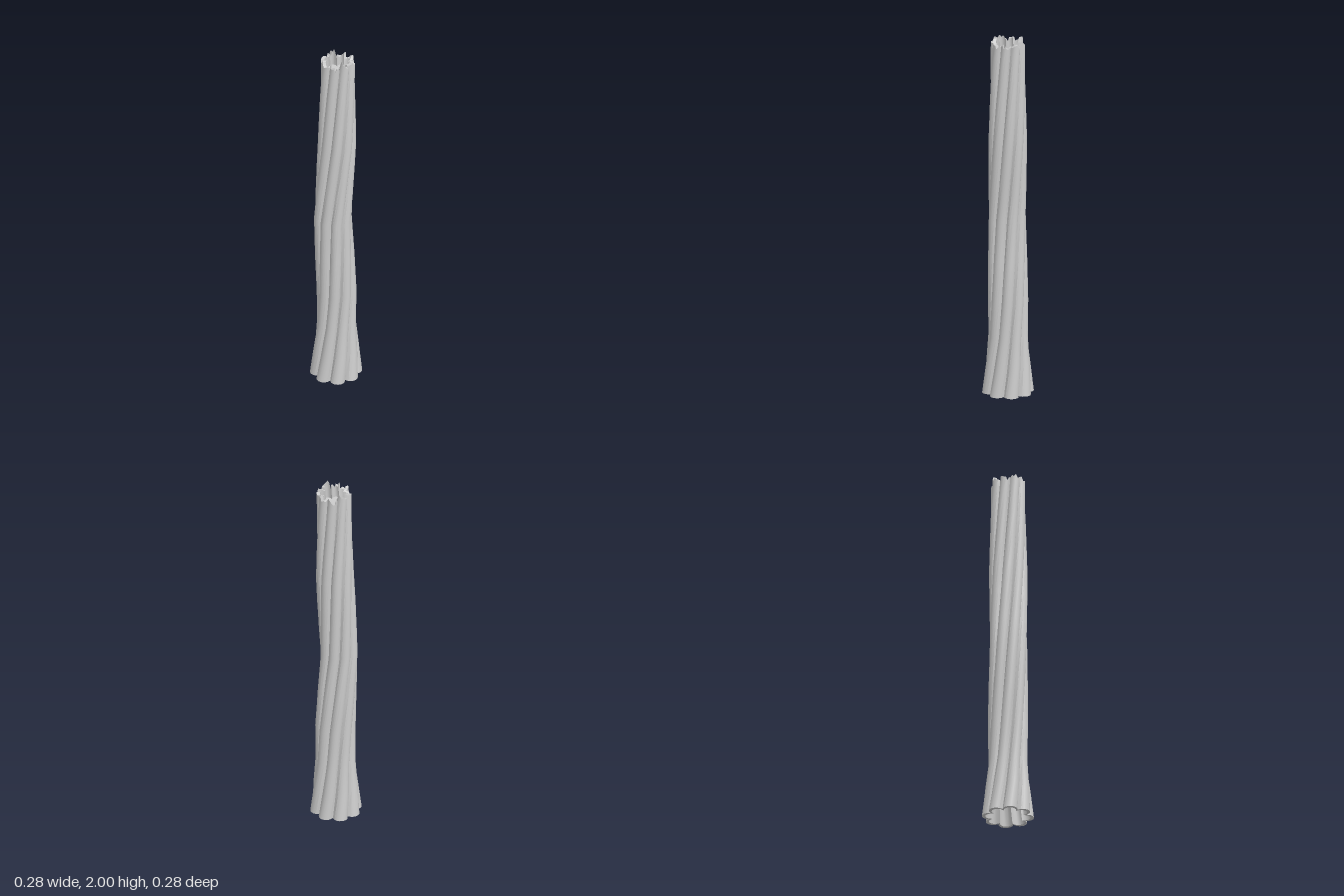
import * as THREE from 'three';
import { toCreasedNormals } from 'three/addons/utils/BufferGeometryUtils.js';

const LOBES = 8, STEPS = 8, N = LOBES * STEPS, WALL = 0.018;

// Sections up the trunk: height, centre x, centre z, scale, twist in degrees
const SECTIONS = [
  [0, 0, 0, 1, 0],
  [0.32, 0.003, 0, 0.77, 20],
  [0.52, 0.003, 0, 0.77, 32],
  [0.98, -0.017, 0.001, 0.74, 56],
  [1.45, 0.005, 0.002, 0.73, 84],
  [1.92, 0.01, 0.002, 0.67, 112.5],
];

function sectionAt(y) {
  let k = 0;
  while (k < SECTIONS.length - 2 && y > SECTIONS[k + 1][0]) k++;
  const a = SECTIONS[k], b = SECTIONS[k + 1];
  const t = (y - a[0]) / (b[0] - a[0]);
  return a.map((v, i) => v + (b[i] - v) * t);
}

// Point i on the ring of round lobes, moved inward by inset
function point(i, y, inset) {
  const [, cx, cz, scale, twist] = sectionAt(y);
  const half = Math.PI / LOBES;
  const a = ((i % STEPS) / STEPS) * 2 * half - half;
  const r = (0.1 * Math.cos(a) + Math.sqrt(0.04 ** 2 - (0.1 * Math.sin(a)) ** 2)) * scale - inset;
  const angle = (i / N) * Math.PI * 2 - half + THREE.MathUtils.degToRad(twist);
  return [cx + r * Math.sin(angle), y, cz + r * Math.cos(angle)];
}

// Broken rim heights, lowest in the grooves with one tall splinter
function rimHeight(i) {
  let seed = (i * 7919 + 37) % 233;
  seed = (seed * seed + 11) % 233;
  const groove = i % STEPS === 0 ? -0.02 : 0;
  if (i === 49) return 2;
  return 1.955 + 0.03 * (seed / 233) + 0.012 * Math.sin(i * 0.8) + groove;
}

function ring(y, inset) {
  return Array.from({ length: N }, (_, i) => point(i, typeof y === 'function' ? y(i) : y, inset));
}

function mesh(geometry, name, side = THREE.FrontSide) {
  const m = new THREE.Mesh(geometry, new THREE.MeshStandardMaterial({ color: 0xcccccc, side }));
  m.name = name;
  return m;
}

export function createModel() {
  const group = new THREE.Group();
  group.name = 'hollowTrunk';

  // Hollow twisted shell: up the outside, over the rim, down the inside
  const heights = [0, 0.16, 0.32, 0.52, 0.75, 0.98, 1.14, 1.3, 1.45, 1.6, 1.76, 1.9];
  const rings = [
    ...heights.map((y) => ring(y, 0)),
    ring(rimHeight, 0),
    ring(rimHeight, WALL),
    ...heights.slice().reverse().map((y) => ring(y, WALL)),
  ];
  const index = [];
  for (let j = 0; j < rings.length; j++) {
    const up = (j + 1) % rings.length;
    for (let i = 0; i < N; i++) {
      const next = (i + 1) % N;
      const a = j * N + i, b = j * N + next, c = up * N + next, d = up * N + i;
      index.push(a, b, c, a, c, d);
    }
  }
  const shell = new THREE.BufferGeometry();
  shell.setAttribute('position', new THREE.Float32BufferAttribute(rings.flat(2), 3));
  shell.setIndex(index);
  group.add(mesh(toCreasedNormals(shell, 0.6), 'twistedShell'));

  // Flat floor just below the broken rim
  const floorRing = ring(1.9, WALL);
  const [, cx, cz] = sectionAt(1.9);
  const floor = new THREE.BufferGeometry();
  floor.setAttribute('position', new THREE.Float32BufferAttribute([[cx, 1.9, cz], ...floorRing].flat(), 3));
  const fan = [];
  for (let i = 0; i < N; i++) fan.push(0, i + 1, ((i + 1) % N) + 1);
  floor.setIndex(fan);
  floor.computeVertexNormals();
  group.add(mesh(floor, 'innerFloor', THREE.DoubleSide));

  return group;
}
